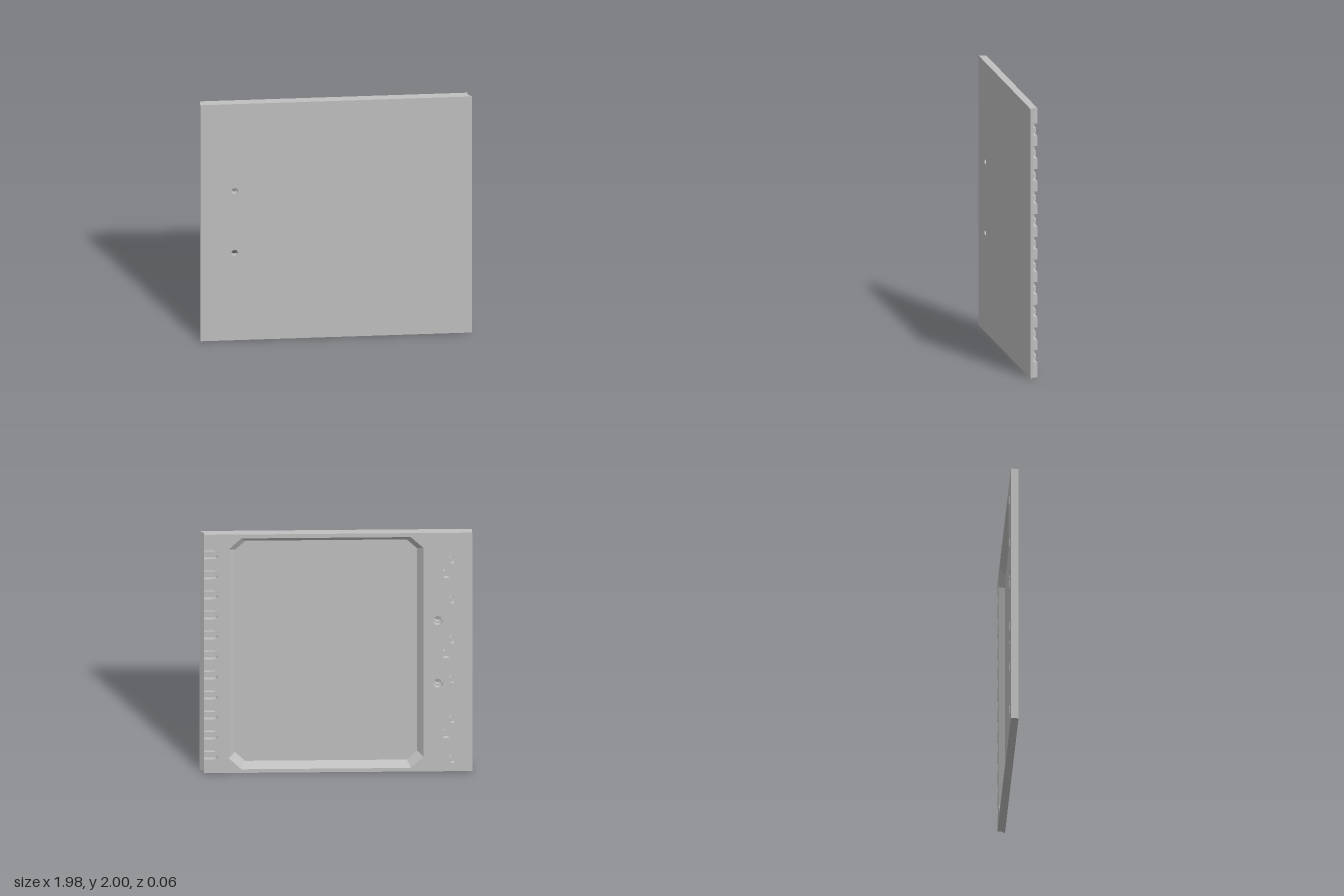
import * as THREE from 'three';

const BACK = -0.028, FRONT = 0.028, MID = 0, FLOOR = 0.017;

const moved = (loop, x, y) => loop.map(([a, b]) => [a + x, b + y]);
const circle = (r, n = 32) => Array.from({ length: n }, (_, i) => {
  const a = (i / n) * Math.PI * 2;
  return [r * Math.cos(a), r * Math.sin(a)];
});
const chamferedRect = (x0, x1, y0, y1, c) => [
  [x0 + c, y0], [x1 - c, y0], [x1, y0 + c], [x1, y1 - c],
  [x1 - c, y1], [x0 + c, y1], [x0, y1 - c], [x0, y0 + c],
];

// Flat face at depth z, turned to the front or the back
function face(loop, holes, z, toBack) {
  const toPoints = (l) => l.map(([x, y]) => new THREE.Vector2(x, y));
  const shape = new THREE.Shape(toPoints(loop));
  holes.forEach((h) => shape.holes.push(new THREE.Path(toPoints(h))));
  const g = new THREE.ShapeGeometry(shape);
  if (toBack) {
    const idx = g.index.array;
    for (let i = 0; i < idx.length; i += 3) [idx[i], idx[i + 1]] = [idx[i + 1], idx[i]];
    g.computeVertexNormals();
  }
  return g.translate(0, 0, z);
}

// Wall joining a counter-clockwise loop at the back to a matching loop in front
function wall(a, za, b, zb, inward) {
  const pos = [];
  a.forEach((p, i) => {
    const j = (i + 1) % a.length;
    const quad = [[...p, za], [...a[j], za], [...b[j], zb], [...b[i], zb]];
    const order = inward ? [0, 2, 1, 0, 3, 2] : [0, 1, 2, 0, 2, 3];
    order.forEach((k) => pos.push(...quad[k]));
  });
  const g = new THREE.BufferGeometry();
  g.setAttribute('position', new THREE.Float32BufferAttribute(pos, 3));
  g.computeVertexNormals();
  return g;
}

export function createModel() {
  const model = new THREE.Group();
  const grey = new THREE.MeshStandardMaterial({ color: 0xc0c0c0, side: THREE.DoubleSide });
  grey.name = 'light grey';
  const add = (name, geometry) => {
    const mesh = new THREE.Mesh(geometry, grey);
    mesh.name = name;
    model.add(mesh);
    return mesh;
  };

  // Eleven rounded notches along the left edge, each with a low tongue
  const notches = Array.from({ length: 11 }, (_, i) => moved([
    [0.96, -0.045], [0.885, -0.045], [0.868, -0.038], [0.86, -0.02],
    [0.86, 0.02], [0.868, 0.038], [0.885, 0.045], [0.96, 0.045],
  ], 0, 0.16 + 0.168 * i));
  notches.forEach((notch, i) => {
    add('notchFloor', face(notch, [], MID, true));
    add('notchTongue', new THREE.BoxGeometry(0.08, 0.036, 0.018))
      .position.set(0.92, 0.155 + 0.168 * i, -0.009);
  });

  // Outer edges: straight at the back, flaring into a lip on the left side
  const edge = (x) => [[-0.99, 0], [x, 0], [x, 2], [-0.99, 2]];
  const notchedEdge = [[-0.99, 0], [0.96, 0], ...notches.flat(), [0.96, 2], [-0.99, 2]];
  add('backEdge', wall(notchedEdge, BACK, notchedEdge, MID));
  add('frontEdgeLip', wall(edge(0.96), MID, edge(0.99), FRONT));

  // Large recess with sloping sides
  const rim = chamferedRect(-0.635, 0.78, 0.03, 1.967, 0.092);
  const bed = chamferedRect(-0.59, 0.735, 0.075, 1.922, 0.075);
  add('recessWall', wall(rim, BACK, bed, FLOOR, true));
  add('recessFloor', face(bed, [], FLOOR, true));

  // Stepped screw holes
  const bores = [], drills = [];
  [0.74, 1.265].forEach((y) => {
    const bore = moved(circle(0.037), -0.74, y), drill = moved(circle(0.024), -0.74, y);
    add('screwHoleBore', wall(bore, BACK, bore, MID, true));
    add('screwHoleStep', face(bore, [drill], MID, true));
    add('screwHole', wall(drill, MID, drill, FRONT, true));
    bores.push(bore);
    drills.push(drill);
  });

  // Keyhole pockets and small waisted pockets near the right edge
  const keyhole = [
    [-0.01, -0.062], [0.01, -0.062], [0.01, -0.02], [0.02, -0.01], [0.02, 0.052],
    [0.012, 0.062], [-0.012, 0.062], [-0.02, 0.052], [-0.02, -0.01], [-0.01, -0.02],
  ];
  const waisted = [
    [-0.018, -0.045], [0.018, -0.045], [0.018, -0.015], [0.008, -0.015],
    [0.008, 0.015], [0.018, 0.015], [0.018, 0.045], [-0.018, 0.045],
  ];
  const pockets = [];
  for (let i = 0; i < 6; i++) pockets.push(moved(keyhole, -0.846, 0.13 + 0.335 * i));
  for (let i = 0; i < 3; i++) pockets.push(moved(waisted, -0.8, 0.325 + 0.67 * i));
  pockets.forEach((p) => {
    add('pocketWall', wall(p, BACK, p, MID, true));
    add('pocketFloor', face(p, [], MID, true));
  });

  // Main faces
  add('backFace', face(notchedEdge, [rim, ...bores, ...pockets], BACK, true));
  add('frontFace', face(edge(0.99), drills, FRONT, false));
  return model;
}
